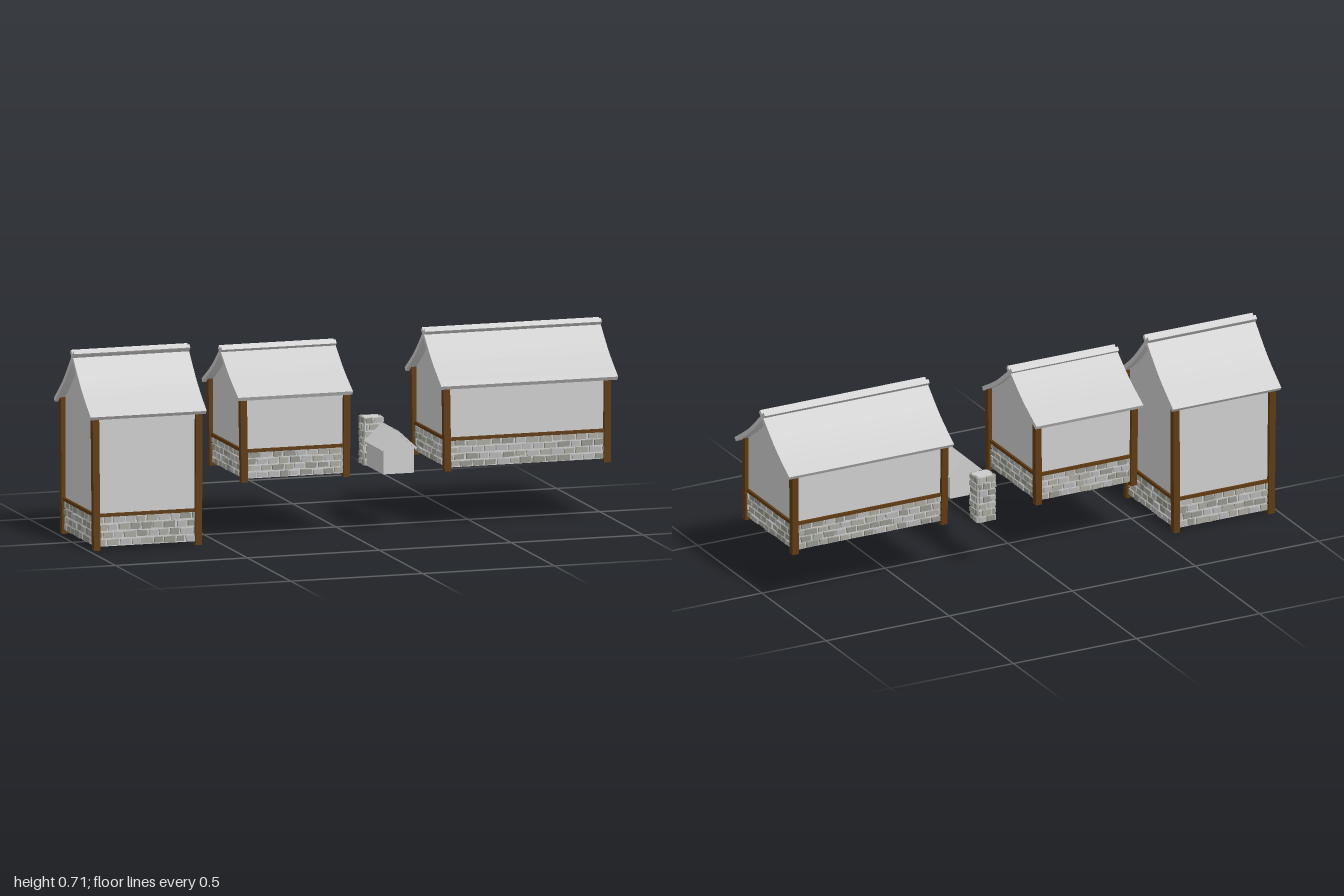
import * as THREE from 'three';
import { mergeGeometries } from 'three/addons/utils/BufferGeometryUtils.js';

const mat = (color) => new THREE.MeshStandardMaterial({ color, flatShading: true });
const plaster = mat(0xcccccc);
const wood = mat(0x5e3a12);
const stoneMats = [0xb2b2b2, 0xa6a69e, 0x94948c].map(mat);

let seed = 7;
const rand = () => (seed = (seed * 16807) % 2147483647) / 2147483647;
const jitter = (a) => (rand() - 0.5) * 2 * a;

function add(group, name, geometry, material) {
  const mesh = new THREE.Mesh(geometry, material);
  mesh.name = name;
  group.add(mesh);
  return mesh;
}

// Extrude a (z, y) profile along x, from x0 to x1
function extrudeX(points, x0, x1) {
  const geo = new THREE.ExtrudeGeometry(new THREE.Shape(points), { depth: x1 - x0, bevelEnabled: false });
  return geo.rotateY(Math.PI / 2).scale(1, 1, 1).translate(x0, 0, 0);
}

// One rough stone lying on the xy plane, narrower at its outer face
function stone(w, h, depth) {
  const pts = [[-1, -1], [1, -1], [1, 1], [-1, 1]].map(([a, b]) =>
    [a * w / 2 + jitter(0.0022), b * h / 2 + jitter(0.0022)]);
  const geo = new THREE.BoxGeometry(1, 1, 1);
  const p = geo.attributes.position;
  for (let i = 0; i < p.count; i++) {
    const corner = p.getY(i) < 0 ? (p.getX(i) < 0 ? 0 : 1) : (p.getX(i) < 0 ? 3 : 2);
    const outer = p.getZ(i) > 0;
    const k = outer ? 0.9 : 1;
    p.setXYZ(i, pts[corner][0] * k, pts[corner][1] * k, outer ? depth : -0.004);
  }
  geo.computeVertexNormals();
  return geo;
}

// Courses of stone round the four sides of a block
function stonework(group, cx, cz, width, depth, y0, y1, rows, length) {
  const piles = stoneMats.map(() => []);
  const rowH = (y1 - y0) / rows;
  for (let side = 0; side < 4; side++) {
    const span = side % 2 ? depth : width;
    const out = (side % 2 ? width : depth) / 2;
    const count = Math.max(2, Math.round(span / length));
    const step = span / count;
    for (let r = 0; r < rows; r++) {
      const shift = r % 2 ? step / 2 : 0;
      let left = -span / 2;
      for (let i = 0; left < span / 2 - 0.006; i++) {
        const end = -span / 2 + (i + 1) * step - shift + jitter(step * 0.14);
        const right = Math.min(span / 2, end > span / 2 - 0.006 ? span / 2 : end);
        const geo = stone(right - left - 0.0035, rowH - 0.003 - rand() * 0.002, 0.004 + rand() * 0.003);
        geo.translate((left + right) / 2, y0 + (r + 0.5) * rowH, out);
        geo.rotateY(side * Math.PI / 2).translate(cx, 0, cz);
        piles[Math.floor(rand() * 3)].push(geo);
        left = right;
      }
    }
  }
  piles.forEach((pile, i) => pile.length && add(group, 'stones' + (i + 1), mergeGeometries(pile), stoneMats[i]));
}

// Slightly sagging roof slope from one eave past the ridge
function roofLine(eave, tip) {
  const rise = tip - eave;
  return new THREE.SplineCurve([
    new THREE.Vector2(0.208, eave),
    new THREE.Vector2(0.1, eave + rise * 0.405),
    new THREE.Vector2(0, eave + rise * 0.9),
    new THREE.Vector2(-0.018, tip),
  ]);
}

// Thickened slope profile, mirrored by side
function slab(curve, half, side, n) {
  const top = [], bottom = [];
  for (let i = 0; i <= n; i++) {
    const p = curve.getPoint(i / n), t = curve.getTangent(i / n);
    top.push(new THREE.Vector2(side * (p.x + t.y * half), p.y - t.x * half));
    bottom.unshift(new THREE.Vector2(side * (p.x - t.y * half), p.y + t.x * half));
  }
  return [...top, ...bottom];
}

function house(name, { x0, x1, r0, r1, base, beam, eave, tip }) {
  const g = new THREE.Group();
  g.name = name;
  const cx = (x0 + x1) / 2, inset = 0.013, wz = 0.182;
  const curve = roofLine(eave, tip);

  // Gabled plaster body following the underside of the roof
  const rise = tip - eave;
  const slope = [[wz, 0.09], [0.1, 0.38], [0, 0.86]].map(([z, f]) => [z, eave + rise * f]);
  const body = [[wz, base + 0.012], ...slope, [-0.1, slope[1][1]], [-wz, slope[0][1]], [-wz, base + 0.012]];
  add(g, 'walls', extrudeX(body.map(([z, y]) => new THREE.Vector2(z, y)), x0 + inset, x1 - inset), plaster);

  // Roof slopes crossing at the ridge
  for (const s of [1, -1]) {
    add(g, s > 0 ? 'backRoof' : 'frontRoof', extrudeX(slab(curve, 0.0078, s, 12), r0, r1), plaster);
  }

  // Corner posts with a slight lean
  const top = eave + 0.013;
  for (const x of [x0 + 0.0125, x1 - 0.0125]) for (const z of [0.184, -0.184]) {
    const geo = new THREE.BoxGeometry(0.025, top - base, 0.024);
    const p = geo.attributes.position;
    const lean = x < cx ? -0.005 : 0.002;
    for (let i = 0; i < p.count; i++) if (p.getY(i) > 0) p.setX(i, p.getX(i) + lean);
    geo.computeVertexNormals();
    add(g, 'cornerPost', geo, wood).position.set(x, (top + base) / 2, z);
  }

  // Horizontal beams above the stone footing
  for (const s of [1, -1]) {
    add(g, 'longBeam', new THREE.BoxGeometry(x1 - x0 - 0.03, 0.012, 0.014), wood).position.set(cx, beam, s * 0.184);
    const end = add(g, 'endBeam', new THREE.BoxGeometry(0.014, 0.012, 0.35), wood);
    end.position.set(s > 0 ? x1 - 0.011 : x0 + 0.011, beam, 0);
  }
  stonework(g, cx, 0, x1 - x0 - 2 * inset, wz * 2, base + 0.012, beam - 0.005, 4, 0.045);
  return g;
}

function dormer() {
  const g = new THREE.Group();
  g.name = 'dormer';
  const cx = 0.175;
  // Body, extruded along z
  const walls = new THREE.Shape([[-0.058, 0.218], [0.058, 0.218], [0.058, 0.312], [0, 0.366], [-0.058, 0.312]]
    .map(([x, y]) => new THREE.Vector2(x, y)));
  add(g, 'dormerWalls', new THREE.ExtrudeGeometry(walls, { depth: 0.187, bevelEnabled: false }), plaster)
    .position.set(cx, 0, 0.003);
  // Thin roof slopes
  const line = new THREE.LineCurve(new THREE.Vector2(0.067, 0.306), new THREE.Vector2(-0.003, 0.371));
  for (const s of [1, -1]) {
    const geo = new THREE.ExtrudeGeometry(new THREE.Shape(slab(line, 0.004, s, 1)), { depth: 0.195, bevelEnabled: false });
    add(g, 'dormerRoof', geo, plaster).position.x = cx;
  }
  return g;
}

function chimney() {
  const g = new THREE.Group();
  g.name = 'chimney';
  add(g, 'chimneyCore', new THREE.BoxGeometry(0.068, 0.174, 0.062), plaster).position.set(0.187, 0.281, -0.162);
  stonework(g, 0.187, -0.162, 0.068, 0.062, 0.192, 0.37, 7, 0.034);
  return g;
}

export function createModel() {
  const model = new THREE.Group();
  model.name = 'timberHouses';
  model.add(
    house('tallHouse', { x0: -0.982, x1: -0.572, r0: -1, r1: -0.56, base: 0, beam: 0.127, eave: 0.486, tip: 0.697 }),
    house('smallHouse', { x0: -0.422, x1: -0.011, r0: -0.44, r1: -0.005, base: 0.218, beam: 0.332, eave: 0.526, tip: 0.682 }),
    house('longHouse', { x0: 0.348, x1: 0.977, r0: 0.33, r1: 1, base: 0.216, beam: 0.332, eave: 0.524, tip: 0.705 }),
    dormer(),
    chimney(),
  );
  return model;
}
